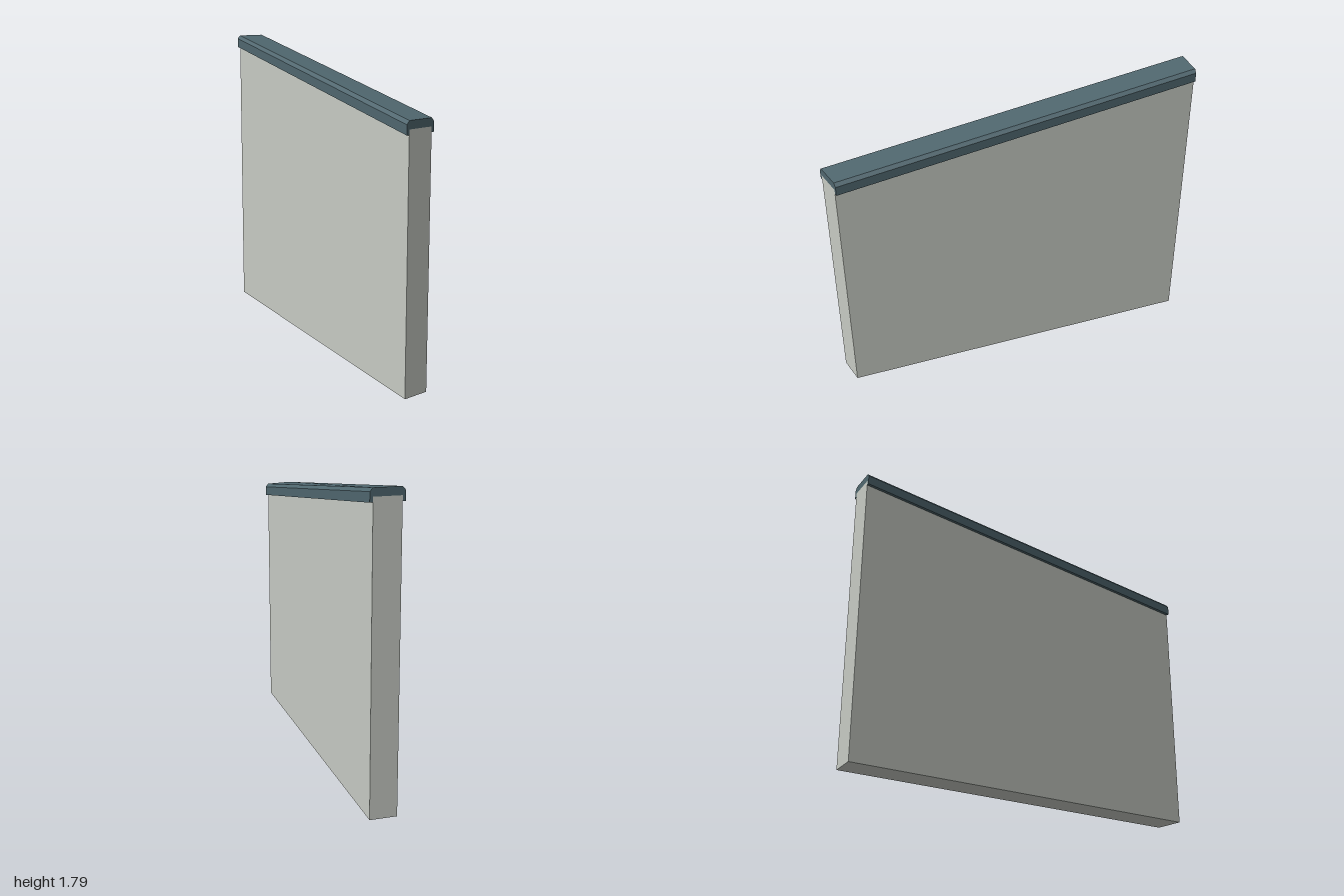
import * as THREE from 'three';

// Plan corners (x, z) of the coping, and the ridge height at each end
const FRONT = { left: [-0.578, 0.953], right: [-0.386, 0.998], top: 1.498 };
const BACK = { left: [0.398, -1.0], right: [0.571, -0.916], top: 1.79 };

const OVERHANG = 0.09; // share of the width by which the coping passes the wall
const SEAT = -0.046; // coping underside, below its top
const LIP = -0.075; // bottom of the drip lips

// Point at share u across one end of the wall, at height y
function across(end, u, y) {
  const [x0, z0] = end.left;
  const [x1, z1] = end.right;
  return new THREE.Vector3(x0 + (x1 - x0) * u, y, z0 + (z1 - z0) * u);
}

// Flat-faced solid between matching sections (counterclockwise seen from the front)
function loft(profileAt) {
  const sections = [FRONT, BACK].map(profileAt);
  const [front, back] = sections.map((s, k) =>
    s.map(([u, y]) => across(k === 0 ? FRONT : BACK, u, y)));
  const points = [];
  const n = front.length;
  for (let i = 0; i < n; i++) {
    const j = (i + 1) % n;
    points.push(front[i], back[i], front[j], front[j], back[i], back[j]);
  }
  const outline = sections[0].map(([u, y]) => new THREE.Vector2(u, y));
  for (const [a, b, c] of THREE.ShapeUtils.triangulateShape(outline, [])) {
    points.push(front[a], front[b], front[c], back[a], back[c], back[b]);
  }
  const geometry = new THREE.BufferGeometry().setFromPoints(points);
  geometry.computeVertexNormals();
  return geometry;
}

function part(name, geometry, color) {
  const mesh = new THREE.Mesh(
    geometry,
    new THREE.MeshStandardMaterial({ color, flatShading: true }));
  mesh.name = name;
  return mesh;
}

export function createModel() {
  const group = new THREE.Group();
  group.name = 'slopedWall';

  // Wall with a top that rises towards the back
  const a = OVERHANG;
  const b = 1 - OVERHANG;
  group.add(part('wall', loft(({ top }) => [
    [a, 0], [b, 0], [b, top + SEAT], [a, top + SEAT],
  ]), 0xc6cac3));

  // Chamfered coping with a lip down each side
  const coping = [
    [0, LIP], [a, LIP], [a, SEAT], [b, SEAT], [b, LIP], [1, LIP],
    [1, -0.02], [0.91, 0], [0.09, 0], [0, -0.02],
  ];
  group.add(part('coping', loft(({ top }) =>
    coping.map(([u, dy]) => [u, top + dy])), 0x4f666e));

  return group;
}
